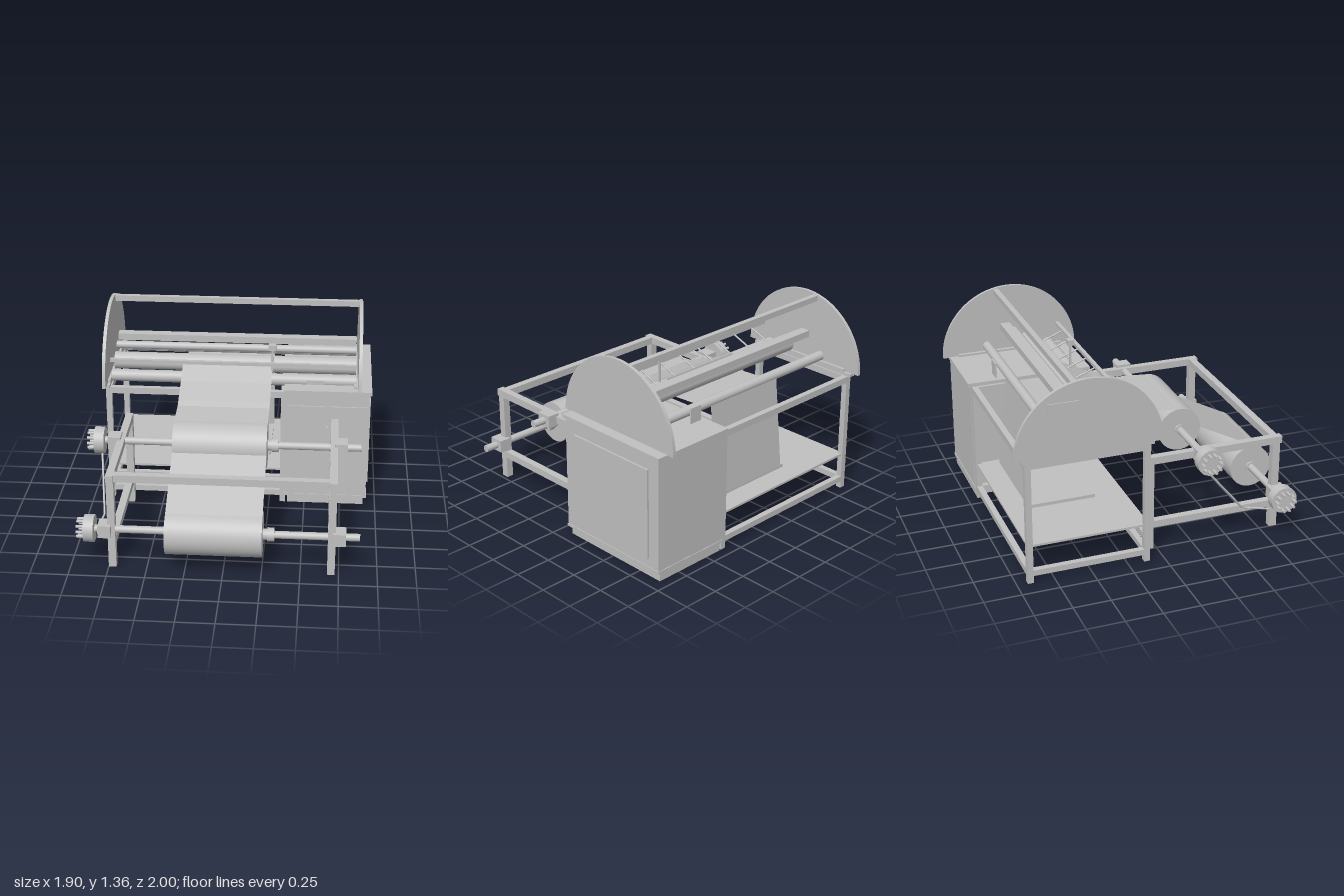
import * as THREE from 'three';

const grey = new THREE.MeshStandardMaterial({ color: 0xc0c0c0 });
grey.name = 'light grey';
const greySheet = new THREE.MeshStandardMaterial({ color: 0xc0c0c0, side: THREE.DoubleSide });
greySheet.name = 'light grey sheet';

export function createModel() {
  const model = new THREE.Group();
  const add = (name, geo, mat = grey) => {
    const m = new THREE.Mesh(geo, mat);
    m.name = name;
    model.add(m);
    return m;
  };
  // Box from its low and high limits on each axis
  const box = (name, x0, x1, y0, y1, z0, z1) =>
    add(name, new THREE.BoxGeometry(x1 - x0, y1 - y0, z1 - z0)
      .translate((x0 + x1) / 2, (y0 + y1) / 2, (z0 + z1) / 2));
  // Cylinder lying along x
  const rod = (name, x0, x1, y, z, r, sides = 40) =>
    add(name, new THREE.CylinderGeometry(r, r, x1 - x0, sides)
      .rotateZ(Math.PI / 2).translate((x0 + x1) / 2, y, z));
  // Thin bar running through a list of points
  const bar = (name, pts, r) => {
    const path = new THREE.CurvePath();
    const v = pts.map(p => new THREE.Vector3(...p));
    for (let i = 1; i < v.length; i++) path.add(new THREE.LineCurve3(v[i - 1], v[i]));
    return add(name, new THREE.TubeGeometry(path, (v.length - 1) * 8, r, 8));
  };
  // Sheet of material swept along x through [z, y] points
  const W0 = -0.37, W1 = 0.255;
  const sheet = (name, pts) => {
    const pos = [], idx = [];
    for (let i = 1; i < pts.length; i++) {
      const [za, ya] = pts[i - 1], [zb, yb] = pts[i], n = pos.length / 3;
      pos.push(W0, ya, za, W1, ya, za, W1, yb, zb, W0, yb, zb);
      idx.push(n, n + 1, n + 2, n, n + 2, n + 3);
    }
    const g = new THREE.BufferGeometry();
    g.setAttribute('position', new THREE.Float32BufferAttribute(pos, 3));
    g.setIndex(idx);
    g.computeVertexNormals();
    return add(name, g, greySheet);
  };

  // Control cabinet
  box('cabinetPlinth', 0.38, 0.915, 0, 0.07, -0.93, -0.1);
  box('cabinetMoulding', 0.36, 0.937, 0.06, 0.078, -0.94, -0.08);
  box('cabinetBody', 0.365, 0.932, 0.07, 0.85, -0.935, -0.085);
  box('cabinetTop', 0.345, 0.949, 0.85, 0.875, -0.955, -0.075);
  box('cabinetSidePanel', 0.932, 0.945, 0.14, 0.76, -0.85, -0.175);
  box('cabinetDoorLeft', 0.665, 0.92, 0.09, 0.76, -0.085, -0.075);
  box('cabinetDoorRight', 0.38, 0.635, 0.09, 0.76, -0.085, -0.075);
  box('doorHandle', 0.637, 0.655, 0.55, 0.61, -0.085, -0.065);
  box('cabinetTopTray', 0.5, 0.62, 0.875, 0.905, -0.195, -0.185);
  box('cabinetRearPlate', 0.38, 0.47, 0.875, 0.98, -0.75, -0.74);

  // Main frame
  for (const z of [-0.93, -0.14]) {
    for (const x of [-0.89, 0.325]) box('framePost', x, x + 0.04, 0, 0.85, z, z + 0.04);
    box('frameTopRail', -0.85, 0.325, 0.805, 0.85, z, z + 0.04);
    box('frameBottomRail', -0.85, 0.325, 0.05, 0.09, z, z + 0.04);
  }
  for (const x of [-0.89, 0.325]) {
    box('frameSideTopRail', x, x + 0.04, 0.805, 0.85, -0.89, -0.14);
    box('frameSideBottomRail', x, x + 0.04, 0.05, 0.09, -0.89, -0.14);
  }
  box('shelfRail', -0.85, 0.325, 0.155, 0.2, -0.14, -0.1);
  box('shelf', -0.87, 0.345, 0.25, 0.265, -0.92, -0.1);
  box('outfeedTray', -0.41, 0.25, 0.265, 0.288, -0.765, -0.31);

  // Half-round end plates with foot brackets
  for (const x of [-0.902, 0.85]) {
    const shape = new THREE.Shape();
    shape.absarc(0, 0, 0.49, 0, Math.PI, false);
    shape.closePath();
    add('endPlate', new THREE.ExtrudeGeometry(shape, { depth: 0.023, bevelEnabled: false, curveSegments: 40 })
      .rotateY(Math.PI / 2).translate(x, 0.87, -0.51));
  }
  box('endBracketRight', -0.879, -0.86, 0.87, 0.89, -0.89, -0.13);
  box('endBracketLeft', 0.825, 0.85, 0.875, 0.89, -0.89, -0.13);
  box('endRailRight', -0.9, -0.86, 0.85, 0.87, -0.95, -0.08);
  box('controlPanel', -0.91, -0.902, 1.14, 1.23, -0.78, -0.58);
  box('topBar', -0.879, 0.85, 1.307, 1.347, -0.62, -0.583);

  // Rollers and beam between the end plates: y, z, radius
  box('rollerBeam', -0.855, 0.838, 1.04, 1.087, -0.58, -0.51);
  for (const [y, z, r] of [[0.93, -0.68, 0.033], [1.02, -0.475, 0.027], [0.94, -0.38, 0.06], [0.89, -0.228, 0.042]])
    rod('roller', -0.86, 0.838, y, z, r);

  // Slitter bar with arms reaching back and down to the material
  box('slitterBar', -0.86, 0.838, 1.02, 1.043, -0.168, -0.142);
  for (let i = 0; i < 9; i++) {
    const x = -0.725 + i * 0.178;
    bar('slitterArm', [[x, 1.025, -0.16], [x, 0.968, -0.305]], 0.006);
  }
  box('sensorStem', 0.248, 0.262, 0.94, 1.1, -0.255, -0.241);
  box('sensorHead', 0.23, 0.282, 1.1, 1.14, -0.27, -0.226);

  // Unwind stand
  for (const x of [-0.75, 0.675]) {
    box('standFrontPost', x, x + 0.05, 0, 0.62, 0.825, 0.877);
    box('standRearPost', x, x + 0.05, 0, 0.62, -0.073, -0.02);
    box('standTopRail', x, x + 0.05, 0.62, 0.67, -0.075, 0.89);
    box('standLowRail', x, x + 0.05, 0.155, 0.203, -0.02, 0.825);
  }
  box('standCrossRail', -0.7, 0.675, 0.62, 0.67, 0.82, 0.87);

  // Two material rolls on shafts, with bearings, collars and brake discs
  for (const [y, z] of [[0.645, 0.312], [0.27, 0.852]]) {
    rod('materialRoll', W0, W1, y, z, 0.15, 64);
    rod('shaft', -0.84, 0.88, y, z, 0.025);
    rod('rollCore', -0.385, 0.285, y, z, 0.037);
    rod('shaftCollar', 0.285, 0.33, y, z, 0.046);
    for (const x of [-0.812, 0.705]) box('bearingBlock', x, x + 0.085, y - 0.043, y + 0.043, z - 0.053, z + 0.053);
    rod('brakeDisc', -0.903, -0.836, y, z, 0.09);
    for (let i = 0; i < 10; i++) {
      const a = i * Math.PI / 5;
      rod('brakePin', -0.95, -0.9, y + 0.06 * Math.sin(a), z + 0.06 * Math.cos(a), 0.01, 12);
    }
  }
  bar('brakeLever', [[-0.86, 0.555, 0.312], [-0.815, 0.225, 0.585], [-0.85, 0.197, 0.77]], 0.007);

  // Web of material: between the rolls, then up through the rollers and down to the tray
  sheet('lowerWeb', [[0.89, 0.417], [0.461, 0.64]]);
  sheet('upperWeb', [[0.3, 0.796], [0.085, 0.81], [0.04, 0.83], [-0.14, 0.895], [-0.315, 0.98], [-0.325, 0.91],
    [-0.38, 0.879], [-0.68, 0.896], [-0.715, 0.92], [-0.78, 0.288]]);

  return model;
}
